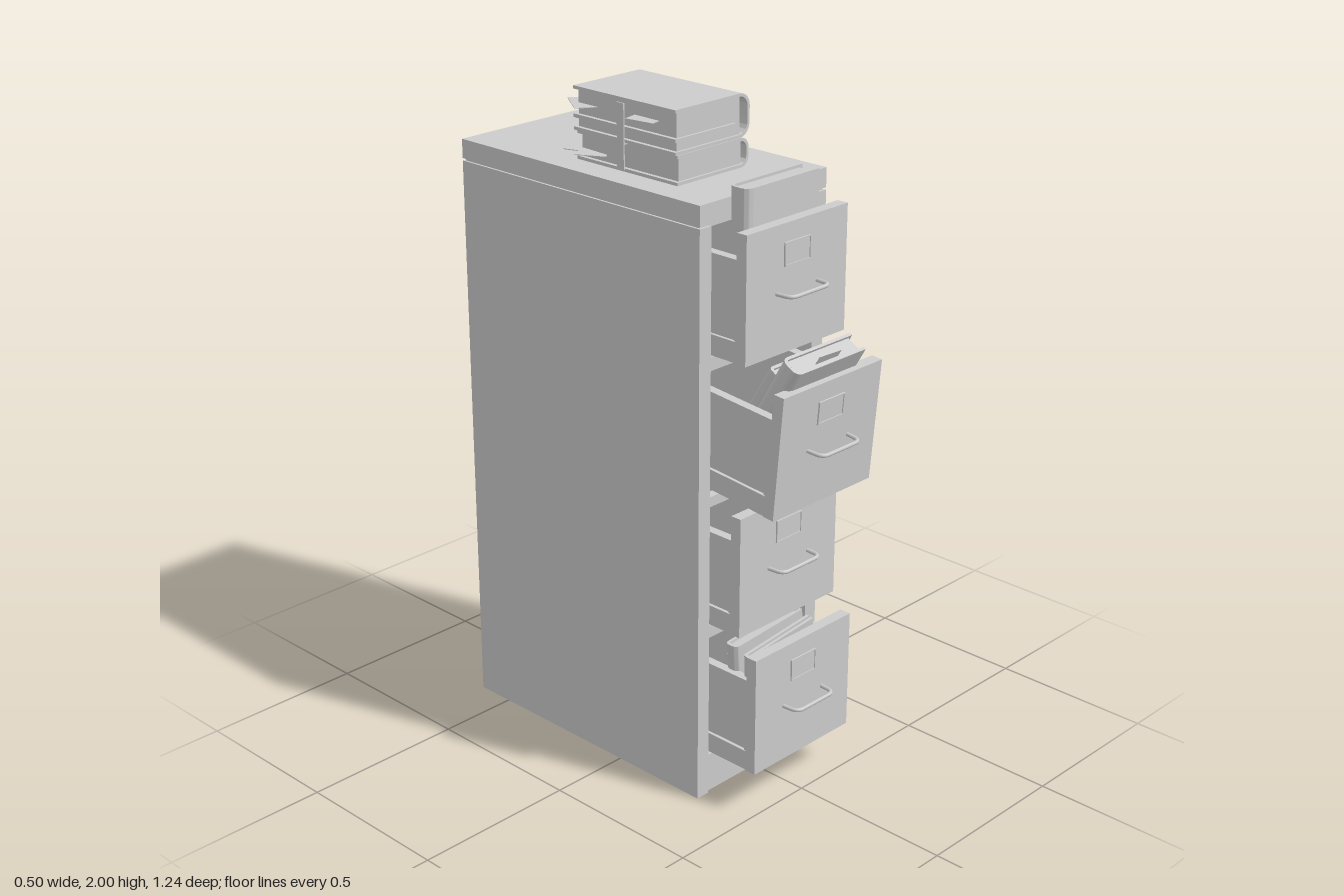
import * as THREE from 'three';
import { toCreasedNormals } from 'three/addons/utils/BufferGeometryUtils.js';

const mat = new THREE.MeshStandardMaterial({ color: 0xcccccc });

function add(parent, name, geo, x = 0, y = 0, z = 0) {
  const m = new THREE.Mesh(geo, mat);
  m.name = name;
  m.position.set(x, y, z);
  parent.add(m);
  return m;
}

// box given by its limits on each axis
function box(parent, name, x0, x1, y0, y1, z0, z1) {
  return add(parent, name, new THREE.BoxGeometry(x1 - x0, y1 - y0, z1 - z0),
    (x0 + x1) / 2, (y0 + y1) / 2, (z0 + z1) / 2);
}

// lying book: rounded spine toward +x, thickness along y, length along z
function book(parent, name, w, h, d, r = h * 0.35, t = 0.009) {
  const g = new THREE.Group();
  g.name = name;
  const a = w / 2, b = h / 2, ri = Math.max(r - t, 0.002);
  const s = new THREE.Shape();
  s.moveTo(-a, b);
  s.lineTo(a - r, b);
  s.absarc(a - r, b - r, r, Math.PI / 2, 0, true);
  s.absarc(a - r, -b + r, r, 0, -Math.PI / 2, true);
  s.lineTo(-a, -b);
  s.lineTo(-a, -b + t);
  s.lineTo(a - t - ri, -b + t);
  s.absarc(a - t - ri, -b + t + ri, ri, -Math.PI / 2, 0, false);
  s.absarc(a - t - ri, b - t - ri, ri, 0, Math.PI / 2, false);
  s.lineTo(-a, b - t);
  s.closePath();
  const cover = new THREE.ExtrudeGeometry(s, { depth: d, bevelEnabled: false, curveSegments: 8 });
  cover.translate(0, 0, -d / 2);
  add(g, 'cover', toCreasedNormals(cover, 0.6));
  box(g, 'pages', -a + 0.012, a - r * 0.8, -b + t, b - t, -d / 2 + 0.008, d / 2 - 0.008);
  parent.add(g);
  return g;
}

// book standing upright with its spine toward -x
function standingBook(parent, name, w, h, d, x, y, z, lean = 0, roll = 0) {
  const pivot = new THREE.Group();
  pivot.name = name;
  pivot.position.set(x, y, z);
  pivot.rotation.set(lean, 0, roll);
  const b = book(pivot, 'volume', w, h, d);
  b.rotation.set(-Math.PI / 2, 0, Math.PI);
  b.position.y = d / 2;
  parent.add(pivot);
  return pivot;
}

function paper(parent, w, d, x, y, z, turn, tilt = 0) {
  const p = add(parent, 'looseSheet', new THREE.BoxGeometry(w, 0.002, d), x, y, z);
  p.rotation.set(0, turn, tilt);
}

// drawer with its origin at the front bottom edge, reaching back along -z
function drawer(parent, name, y, z, tilt = 0, depth = 0.75) {
  const g = new THREE.Group();
  g.name = name;
  g.position.set(0, y, z);
  g.rotation.x = tilt;
  const H = 0.365, S = 0.29, T = 0.035;
  box(g, 'frontPlate', -0.202, 0.202, 0, H, -T, 0);
  box(g, 'floor', -0.185, 0.185, 0.008, 0.02, -depth, -T);
  box(g, 'backPlate', -0.19, 0.19, 0, S, -depth - 0.015, -depth);
  for (const s of [-1, 1]) {
    const side = (n, xa, xb, y0, y1, z0, z1) =>
      box(g, n, Math.min(s * xa, s * xb), Math.max(s * xa, s * xb), y0, y1, z0, z1);
    side('sidePanel', 0.18, 0.188, 0, S, -depth, -T);
    side('sideRim', 0.172, 0.2, S - 0.04, S, -depth, -T);
    side('sideLowerRail', 0.18, 0.198, 0, 0.06, -depth, -T);
    side('sideFrontStrip', 0.18, 0.195, 0.06, S - 0.04, -T - 0.012, -T);
  }
  // label holder: thin card in a frame
  box(g, 'labelCard', -0.05, 0.046, 0.247, 0.308, 0, 0.002);
  for (const ly of [0.245, 0.308]) box(g, 'labelFrame', -0.055, 0.05, ly, ly + 0.004, 0, 0.005);
  for (const lx of [-0.055, 0.046]) box(g, 'labelFrame', lx, lx + 0.004, 0.245, 0.312, 0, 0.005);
  // bow handle
  const P = (px, pz) => new THREE.Vector3(px, 0.175, pz), R = 0.025, E = 0.05;
  const path = new THREE.CurvePath();
  path.add(new THREE.LineCurve3(P(-0.082, -0.002), P(-0.08, E - R)));
  path.add(new THREE.QuadraticBezierCurve3(P(-0.08, E - R), P(-0.079, E), P(-0.079 + R, E)));
  path.add(new THREE.LineCurve3(P(-0.079 + R, E), P(0.079 - R, E)));
  path.add(new THREE.QuadraticBezierCurve3(P(0.079 - R, E), P(0.079, E), P(0.08, E - R)));
  path.add(new THREE.LineCurve3(P(0.08, E - R), P(0.082, -0.002)));
  add(g, 'handle', new THREE.TubeGeometry(path, 48, 0.006, 8));
  parent.add(g);
  return g;
}

export function createModel() {
  const root = new THREE.Group();
  root.name = 'filingCabinet';

  // cabinet shell
  const shell = new THREE.Group();
  shell.name = 'cabinet';
  root.add(shell);
  box(shell, 'topSlab', -0.252, 0.252, 1.733, 1.79, -0.62, 0.32);
  box(shell, 'topSeam', -0.245, 0.245, 1.722, 1.735, -0.614, 0.312);
  for (const s of [-1, 1]) {
    box(shell, 'sideWall', s < 0 ? -0.252 : 0.207, s < 0 ? -0.207 : 0.252, 0, 1.726, -0.62, 0.32);
  }
  box(shell, 'backPanel', -0.21, 0.21, 0.01, 1.73, -0.612, -0.59);
  box(shell, 'bottomPanel', -0.21, 0.21, 0.012, 0.03, -0.6, 0.3);
  box(shell, 'plinth', -0.207, 0.207, 0.002, 0.122, 0.29, 0.314);
  for (const [y0, y1] of [[0.505, 0.543], [0.912, 0.942], [1.315, 1.355]]) {
    box(shell, 'crossRail', -0.207, 0.207, y0, y1, 0.285, 0.314);
  }

  // drawers, from the top down
  const d1 = drawer(root, 'topDrawer', 1.36, 0.44);
  const d2 = drawer(root, 'tiltedDrawer', 0.945, 0.547, 0.085);
  drawer(root, 'thirdDrawer', 0.547, 0.43);
  const d4 = drawer(root, 'bottomDrawer', 0.133, 0.495);

  // contents of the top drawer
  standingBook(d1, 'binder', 0.285, 0.07, 0.42, -0.017, 0.05, -0.073);
  box(d1, 'divider', 0.12, 0.165, 0.02, 0.3, -0.1, -0.06);

  // books leaning forward in the tilted drawer
  standingBook(d2, 'leaningBook', 0.28, 0.065, 0.3, -0.025, 0.165, -0.15, 0.44);
  standingBook(d2, 'leaningBook', 0.27, 0.035, 0.28, -0.02, 0.148, -0.208, 0.46);
  const note = box(d2, 'noteSheet', -0.07, 0.02, 0.36, 0.45, -0.022, -0.02);
  note.rotation.set(0.44, 0, -0.06);

  // slightly rolled books and folders in the bottom drawer
  standingBook(d4, 'storedBook', 0.28, 0.045, 0.33, -0.025, 0.05, -0.11, 0, 0.07);
  standingBook(d4, 'storedBook', 0.27, 0.025, 0.33, -0.025, 0.045, -0.062, 0.05, 0.1);
  box(d4, 'folder', -0.15, 0.16, 0.02, 0.31, -0.16, -0.145);

  // strapped stack on the cabinet top
  const stack = new THREE.Group();
  stack.name = 'bookStack';
  stack.position.set(-0.03, 1.79, -0.038);
  root.add(stack);
  book(stack, 'lowerBook', 0.28, 0.083, 0.385, 0.03).position.set(0.005, 0.0415, 0);
  book(stack, 'upperBook', 0.29, 0.124, 0.39, 0.04).position.set(0, 0.147, 0);
  box(stack, 'middleBoard', -0.145, 0.09, 0.12, 0.13, -0.195, 0.195);
  for (const sx of [-0.151, 0.145]) box(stack, 'strap', sx, sx + 0.004, 0.01, 0.195, -0.02, 0.006);
  box(stack, 'strapBand', -0.151, 0.149, 0.08, 0.088, -0.02, 0.006);
  paper(stack, 0.17, 0.13, -0.06, 0.028, -0.19, 0.33);
  paper(stack, 0.1, 0.12, -0.11, 0.16, -0.17, -0.6);
  paper(stack, 0.1, 0.09, -0.12, 0.165, 0.075, 0.15, 0.02);
  paper(stack, 0.09, 0.09, -0.12, 0.03, -0.14, 0.5, 0.05);

  return root;
}
